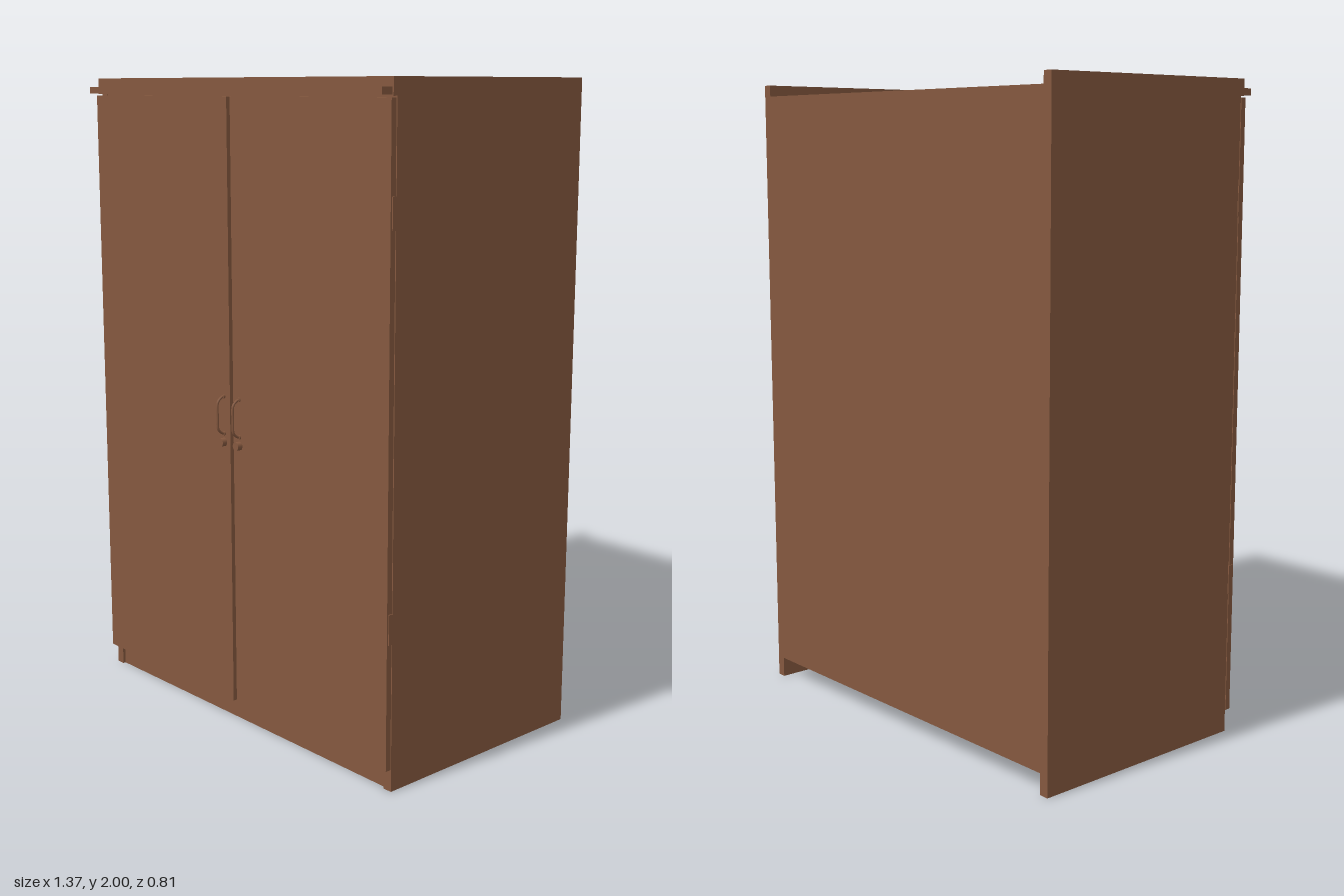
import * as THREE from 'three';

const wood = new THREE.MeshStandardMaterial({ color: 0x84583f });
wood.name = 'brownWood';

export function createModel() {
  const model = new THREE.Group();
  model.name = 'wardrobe';

  const add = (name, geometry, parent = model) => {
    const mesh = new THREE.Mesh(geometry, wood);
    mesh.name = name;
    parent.add(mesh);
    return mesh;
  };
  // Box given by its lower and upper limits on each axis
  const box = (name, [x0, x1], [y0, y1], [z0, z1], parent) => {
    const mesh = add(name, new THREE.BoxGeometry(x1 - x0, y1 - y0, z1 - z0), parent);
    mesh.position.set((x0 + x1) / 2, (y0 + y1) / 2, (z0 + z1) / 2);
    return mesh;
  };

  // Carcass
  box('topPanel', [-0.65, 0.65], [1.94, 1.965], [-0.405, 0.352]);
  box('bottomPanel', [-0.65, 0.65], [0.065, 0.09], [-0.395, 0.352]);
  box('backPanel', [-0.65, 0.65], [0.065, 1.965], [-0.405, -0.395]);
  box('plinth', [-0.65, 0.65], [0, 0.065], [0.325, 0.345]);
  box('centreDivider', [-0.015, 0.015], [0.09, 1.94], [-0.395, 0.352]);

  // Cornice across the top
  box('topRail', [-0.68, 0.68], [1.95, 2], [0.354, 0.368]);
  box('corniceLedge', [-0.675, 0.675], [1.953, 1.973], [0.368, 0.405]);

  for (const s of [1, -1]) {
    const side = s > 0 ? 'left' : 'right';
    const span = (a, b) => (s > 0 ? [a, b] : [-b, -a]);
    box(side + 'SidePanel', span(0.65, 0.68), [0, 2], [-0.405, 0.354]);

    // Door with its hardware
    const door = new THREE.Group();
    door.name = side + 'Door';
    model.add(door);
    box('doorPanel', span(0.008, 0.68), [0.068, 1.946], [0.357, 0.375], door);
    for (const y of [0.49, 1.645]) {
      box('hinge', span(0.672, 0.683), [y - 0.045, y + 0.045], [0.352, 0.37], door);
    }

    // Bow handle with small round feet
    const x = s * 0.037;
    const path = new THREE.CatmullRomCurve3([
      [0.93, 0.372], [0.935, 0.386], [0.948, 0.399], [0.99, 0.401],
      [1.032, 0.399], [1.045, 0.386], [1.05, 0.372],
    ].map(([y, z]) => new THREE.Vector3(x, y, z)));
    add('handle', new THREE.TubeGeometry(path, 28, 0.004, 8), door);
    for (const y of [0.932, 1.048]) {
      const foot = add('handleFoot', new THREE.CylinderGeometry(0.007, 0.007, 0.006, 16), door);
      foot.rotation.x = Math.PI / 2;
      foot.position.set(x, y, 0.377);
    }

    // Lock cylinder and the lock case behind it
    const lock = add('lock', new THREE.CylinderGeometry(0.013, 0.013, 0.018, 24), door);
    lock.rotation.x = Math.PI / 2;
    lock.position.set(x, 0.905, 0.383);
    box('lockCase', span(0.018, 0.056), [0.88, 0.93], [0.35, 0.36], door);
  }
  return model;
}
